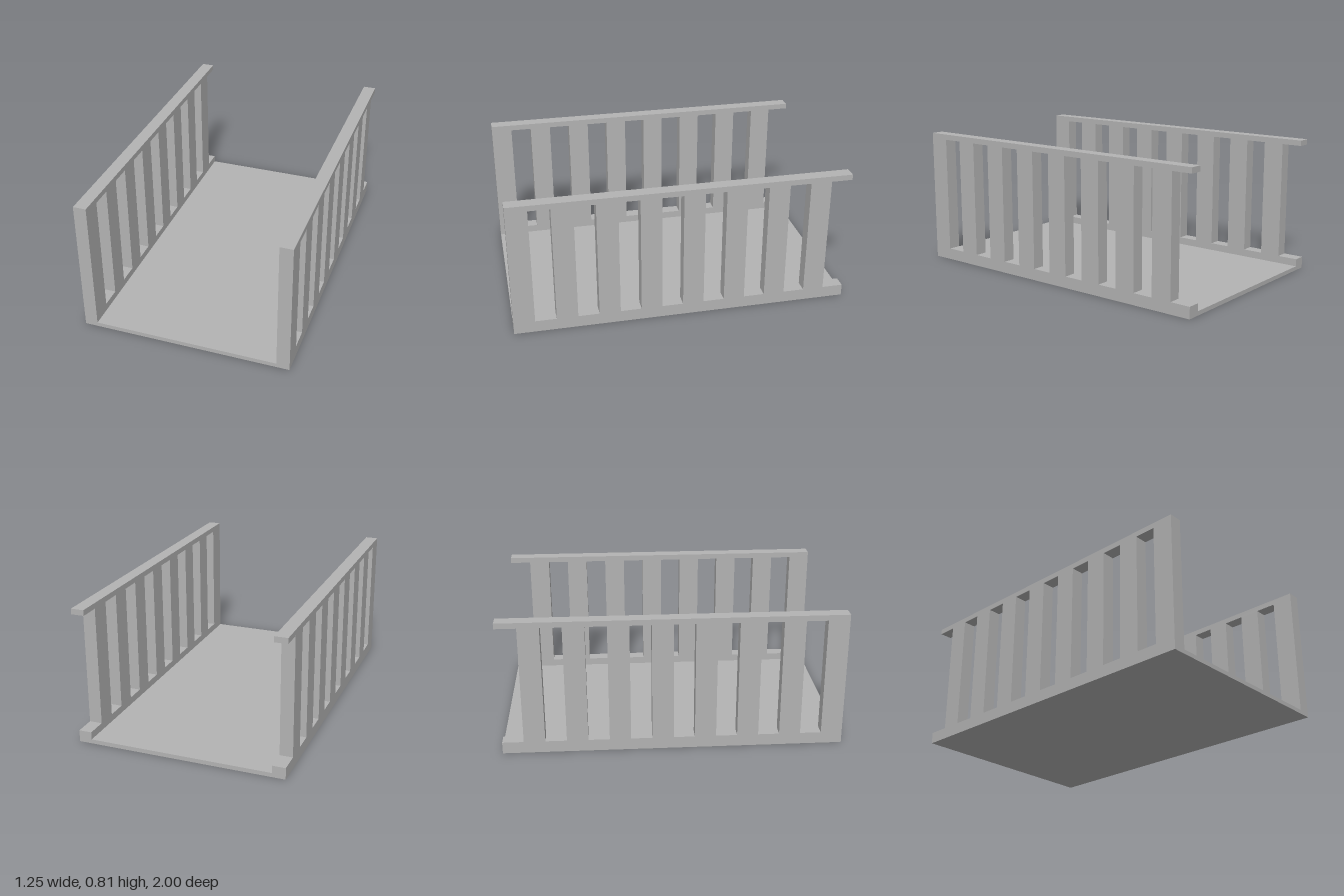
import * as THREE from 'three';

const LENGTH = 2, HALF_WIDTH = 0.625, HEIGHT = 0.815;
const WALL = 0.077, DECK = 0.025;
const SLOT_BOTTOM = 0.07, SLOT_TOP = 0.782, PITCH = 0.25, SLOT = 0.125;

// Side profile (shape x = model z): seven closed slots and one open at the back end
function railingGeometry() {
  const back = -LENGTH / 2, front = LENGTH / 2;
  const shape = new THREE.Shape([
    [back, 0], [front, 0], [front, HEIGHT], [back, HEIGHT],
    [back, SLOT_TOP], [back + SLOT, SLOT_TOP],
    [back + SLOT, SLOT_BOTTOM], [back, SLOT_BOTTOM],
  ].map(([z, y]) => new THREE.Vector2(z, y)));

  for (let i = 1; i < 8; i++) {
    const z = back + i * PITCH;
    shape.holes.push(new THREE.Path([
      new THREE.Vector2(z, SLOT_BOTTOM),
      new THREE.Vector2(z, SLOT_TOP),
      new THREE.Vector2(z + SLOT, SLOT_TOP),
      new THREE.Vector2(z + SLOT, SLOT_BOTTOM),
    ]));
  }
  const geometry = new THREE.ExtrudeGeometry(shape, { depth: WALL, bevelEnabled: false });
  geometry.rotateY(-Math.PI / 2); // thickness now runs from x = 0 to x = -WALL
  return geometry;
}

export function createModel() {
  const model = new THREE.Group();
  model.name = 'bridge';
  const grey = new THREE.MeshStandardMaterial({ color: 0xb3b3b3 });
  grey.name = 'grey';

  // Flat deck between the railings
  const deckWidth = 2 * (HALF_WIDTH - WALL);
  const deck = new THREE.Mesh(new THREE.BoxGeometry(deckWidth, DECK, LENGTH), grey);
  deck.name = 'deck';
  deck.position.y = DECK / 2;
  model.add(deck);

  // Slotted railings on both sides
  const geometry = railingGeometry();
  for (const [name, x] of [['leftRailing', HALF_WIDTH], ['rightRailing', WALL - HALF_WIDTH]]) {
    const railing = new THREE.Mesh(geometry, grey);
    railing.name = name;
    railing.position.x = x;
    model.add(railing);
  }
  return model;
}
